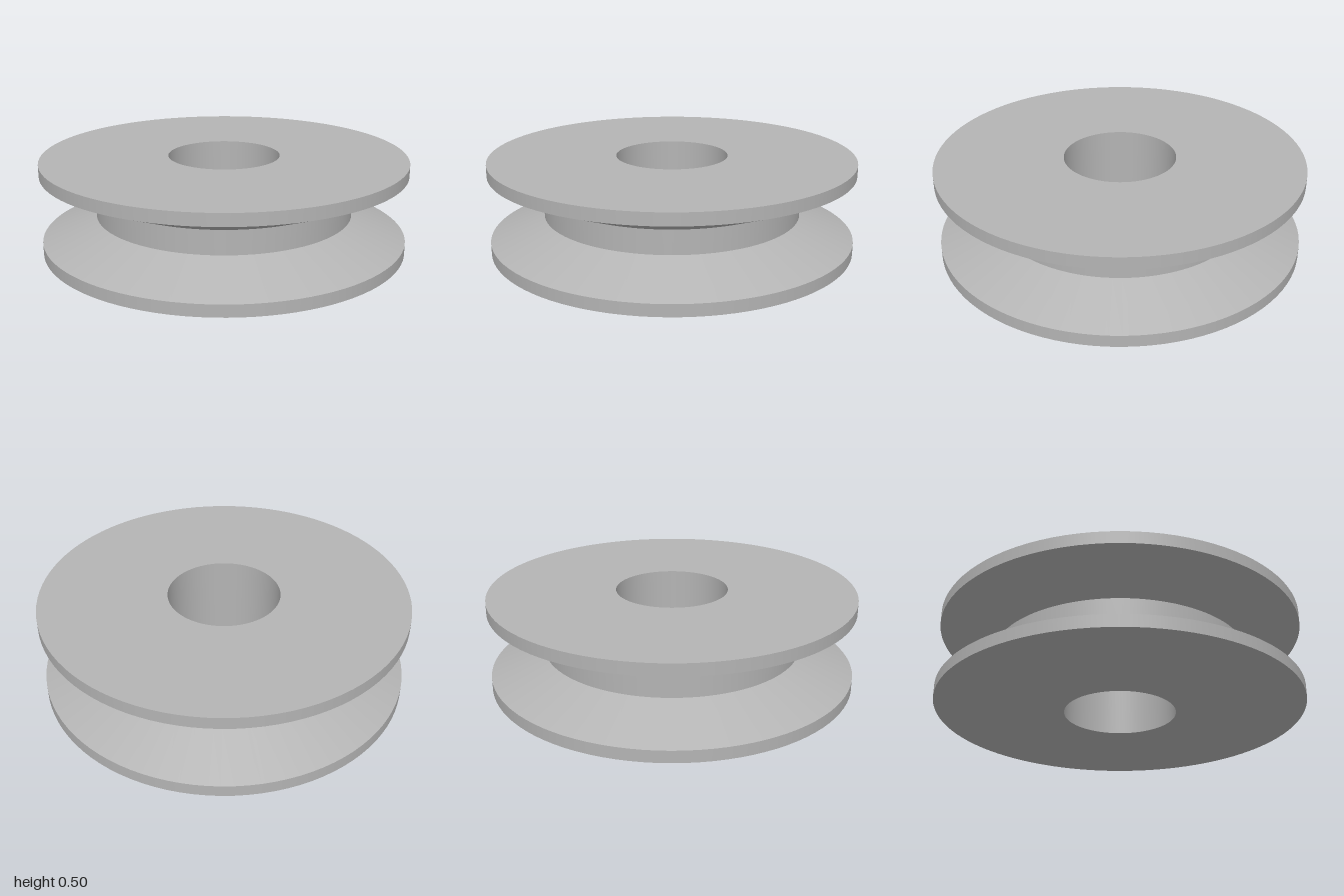
import * as THREE from 'three';
import { mergeGeometries } from 'three/addons/utils/BufferGeometryUtils.js';

const SEGMENTS = 96;
const RIM = 1, GROOVE = 0.705, BORE = 0.305;

export function createModel() {
  const group = new THREE.Group();
  group.name = 'pulleyWheel';
  const grey = new THREE.MeshStandardMaterial({ color: 0xb4b4b4 });
  grey.name = 'plain grey';

  // Each straight piece of the profile is its own lathe, so the edges between them stay sharp
  const turned = (name, profile) => {
    const bands = profile.slice(1).map((p, i) =>
      new THREE.LatheGeometry(
        [new THREE.Vector2(...profile[i]), new THREE.Vector2(...p)], SEGMENTS));
    const mesh = new THREE.Mesh(mergeGeometries(bands), grey);
    mesh.name = name;
    group.add(mesh);
  };

  // Flat underside, lower rim and the slope into the groove
  turned('lowerFlange', [[BORE, 0], [RIM, 0], [RIM, 0.065], [GROOVE, 0.185]]);

  // Straight floor of the groove
  turned('grooveFloor', [[GROOVE, 0.185], [GROOVE, 0.315]]);

  // Slope out of the groove, upper rim and flat top
  turned('upperFlange', [[GROOVE, 0.315], [RIM, 0.435], [RIM, 0.5], [BORE, 0.5]]);

  // Wall of the central hole, facing inward
  turned('bore', [[BORE, 0.5], [BORE, 0]]);

  return group;
}
